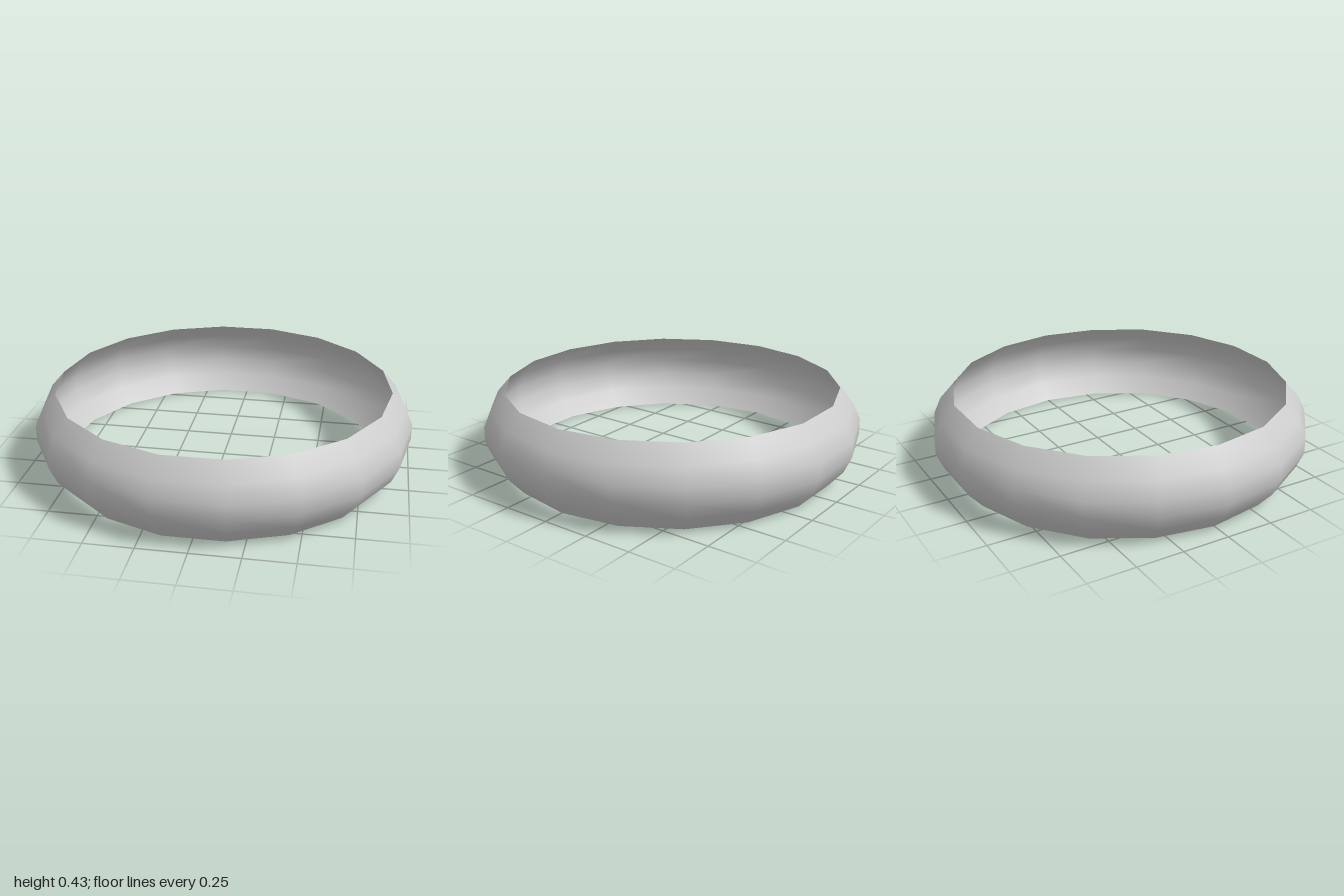
import * as THREE from 'three';

export function createModel() {
  const group = new THREE.Group();

  // Bowed cross-section of the band, from bottom rim to top rim
  const height = 0.428;
  const radii = [0.887, 0.962, 1, 1, 0.962, 0.887];
  const profile = radii.map((r, i) => new THREE.Vector2(r, (height * i) / (radii.length - 1)));

  // Thin open band with 18 sides and corners on the x axis
  const band = new THREE.Mesh(
    new THREE.LatheGeometry(profile, 18, Math.PI / 2),
    new THREE.MeshStandardMaterial({ color: 0xcccccc, side: THREE.DoubleSide })
  );
  band.name = 'ringBand';
  group.add(band);

  return group;
}
